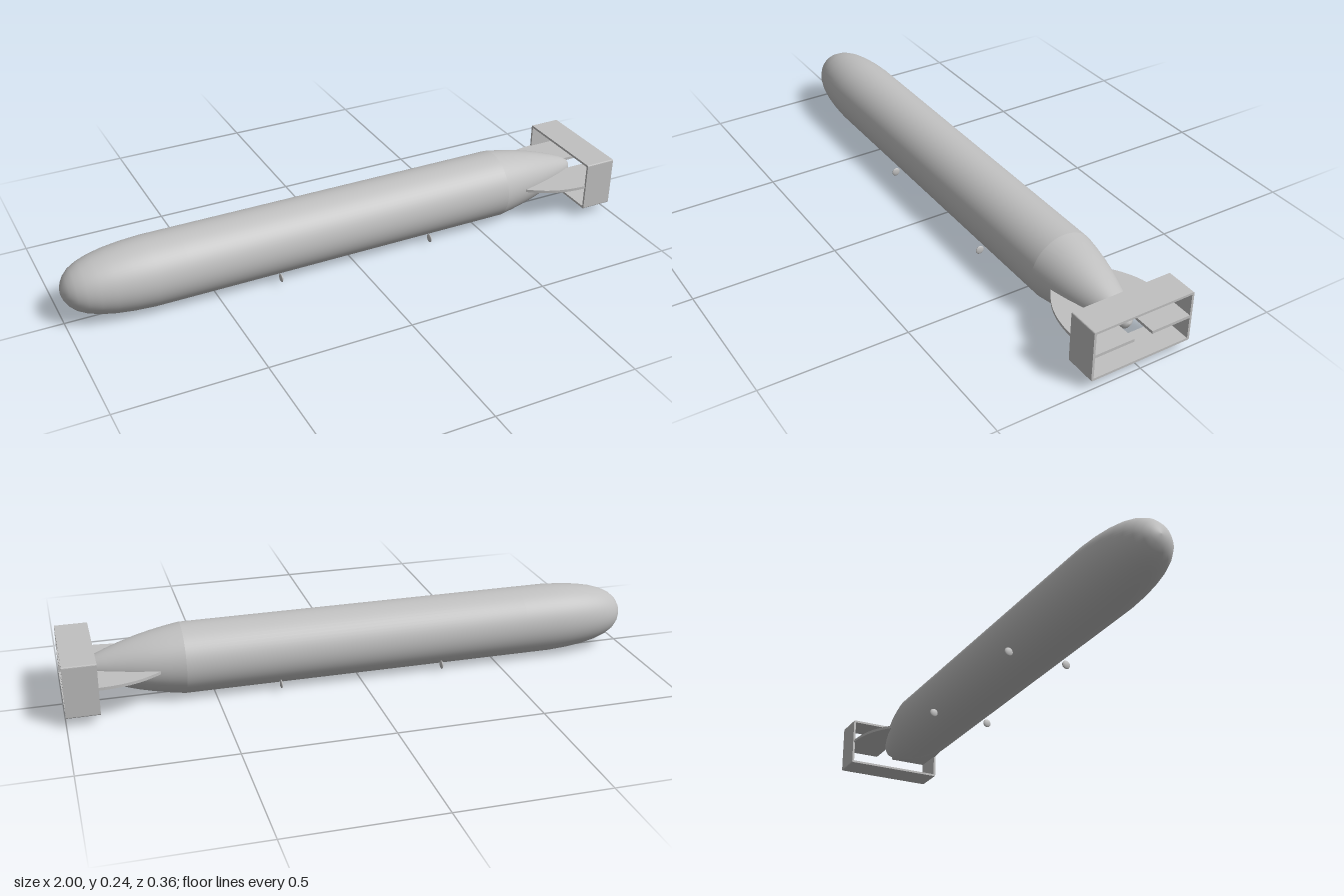
import * as THREE from 'three';

const AXIS_Y = 0.12;

export function createModel() {
  const model = new THREE.Group();
  model.name = 'torpedo';
  const steel = new THREE.MeshStandardMaterial({ color: 0xc0c0c0 });
  steel.name = 'light grey steel';

  function add(name, geometry, x = 0, y = AXIS_Y, z = 0) {
    const mesh = new THREE.Mesh(geometry, steel);
    mesh.name = name;
    mesh.position.set(x, y, z);
    model.add(mesh);
    return mesh;
  }

  // Revolve [x, radius] pairs around the long axis
  function revolve(profile) {
    const points = profile.map(([x, r]) => new THREE.Vector2(r, x));
    return new THREE.LatheGeometry(points, 64).rotateZ(-Math.PI / 2);
  }

  // Blunt nose and straight hull
  add('hull', revolve([
    [-1, 0], [-0.998, 0.015], [-0.992, 0.032], [-0.98, 0.051], [-0.96, 0.07],
    [-0.93, 0.086], [-0.89, 0.099], [-0.84, 0.109], [-0.78, 0.116],
    [-0.71, 0.12], [-0.6, 0.12], [0.6, 0.12],
  ]));

  // Tapered tail with a small rounded end
  add('tailCone', revolve([
    [0.6, 0.12], [0.65, 0.112], [0.7, 0.102], [0.75, 0.09], [0.8, 0.075],
    [0.85, 0.058], [0.89, 0.042], [0.91, 0.032], [0.925, 0.021], [0.933, 0.01], [0.935, 0],
  ]));

  // Horizontal fins with a curved leading edge, reaching through the shroud
  const fin = new THREE.Shape();
  fin.moveTo(0.68, 0.033);
  fin.lineTo(0.68, 0.103);
  fin.bezierCurveTo(0.73, 0.14, 0.78, 0.174, 0.89, 0.177);
  fin.lineTo(1, 0.177);
  fin.lineTo(1, 0.033);
  fin.closePath();
  for (const side of [1, -1]) {
    const geometry = new THREE.ExtrudeGeometry(fin, { depth: 0.01, bevelEnabled: false, curveSegments: 16 });
    geometry.translate(0, 0, -0.005).rotateX(side * Math.PI / 2);
    add(side > 0 ? 'leftFin' : 'rightFin', geometry);
  }

  // Open rectangular shroud around the tail
  function roundedRect(path, w, h, r) {
    path.moveTo(-w + r, -h);
    path.lineTo(w - r, -h);
    path.quadraticCurveTo(w, -h, w, -h + r);
    path.lineTo(w, h - r);
    path.quadraticCurveTo(w, h, w - r, h);
    path.lineTo(-w + r, h);
    path.quadraticCurveTo(-w, h, -w, h - r);
    path.lineTo(-w, -h + r);
    path.quadraticCurveTo(-w, -h, -w + r, -h);
    return path;
  }
  const frame = roundedRect(new THREE.Shape(), 0.181, 0.089, 0.005);
  frame.holes.push(roundedRect(new THREE.Path(), 0.173, 0.081, 0.001));
  add('tailShroud', new THREE.ExtrudeGeometry(frame, { depth: 0.11, bevelEnabled: false, curveSegments: 4 })
    .rotateY(Math.PI / 2), 0.89);

  // Small guide lugs low on both flanks
  for (const x of [-0.285, 0.285]) {
    for (const side of [1, -1]) {
      const lug = new THREE.SphereGeometry(0.015, 20, 14).scale(0.3, 1, 1);
      add(side > 0 ? 'leftLug' : 'rightLug', lug, x, 0.03, side * 0.107);
    }
  }
  return model;
}
